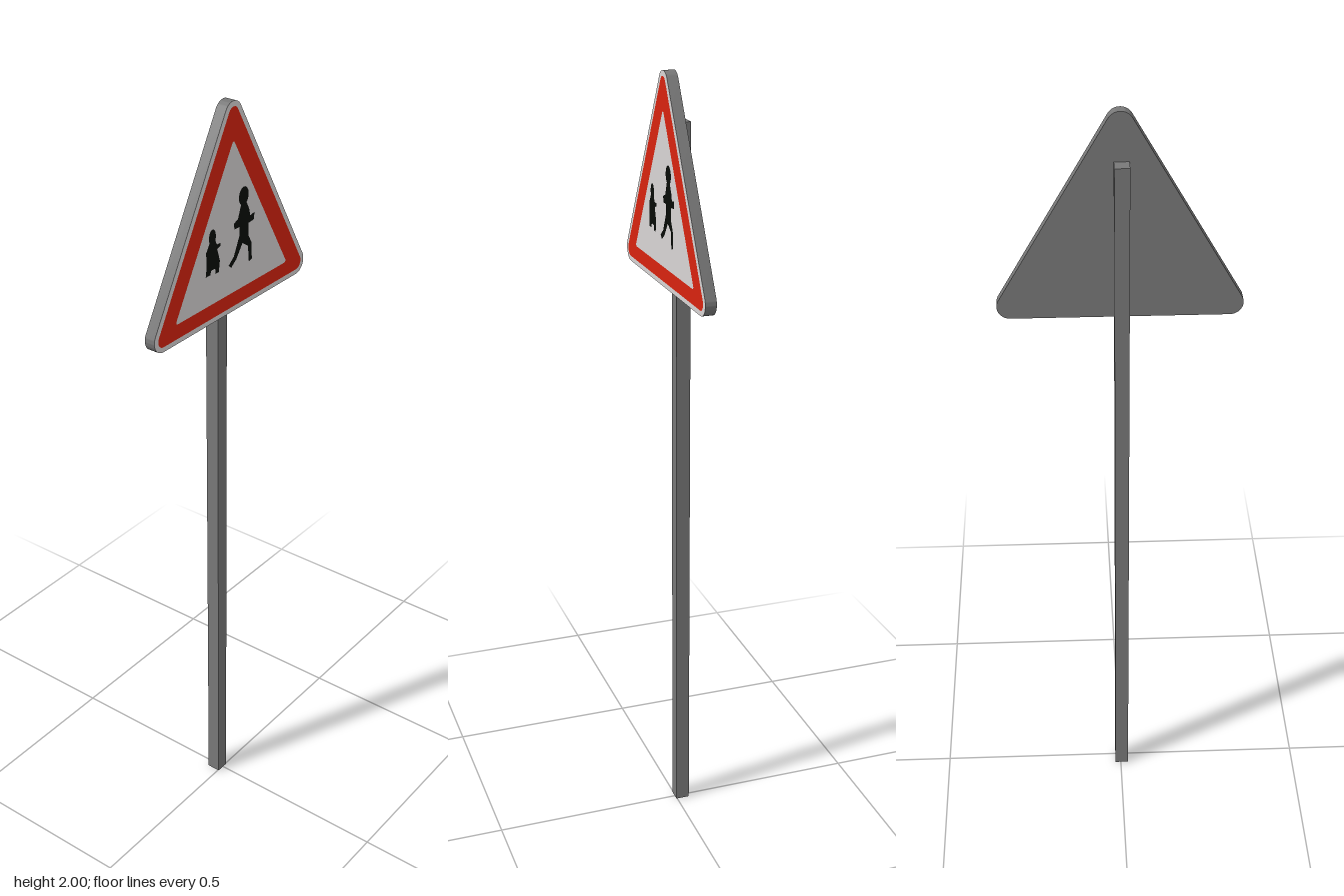
import * as THREE from 'three';
import { toCreasedNormals } from 'three/addons/utils/BufferGeometryUtils.js';

const mat = (name, color) => {
  const m = new THREE.MeshStandardMaterial({ color });
  m.name = name;
  return m;
};

// Triangle with rounded corners: arcs of radius r around three corner centres
function roundedTriangle(centres, r, Type = THREE.Shape) {
  const s = new Type();
  centres.forEach(([x, y], i) => {
    const mid = -Math.PI / 6 * 5 + i * Math.PI * 2 / 3;
    s.absarc(x, y, r, mid - Math.PI / 3, mid + Math.PI / 3, false);
  });
  s.closePath();
  return s;
}

const polygon = (pts) => new THREE.Shape(pts.map(([x, y]) => new THREE.Vector2(x, y)));

function disc(x, y, rx, ry) {
  const s = new THREE.Shape();
  s.absellipse(x, y, rx, ry, 0, Math.PI * 2, false, 0);
  return s;
}

export function createModel() {
  const model = new THREE.Group();
  const grey = mat('grey metal', 0x787878);
  const white = mat('sign white', 0xd8d5d5);
  const red = mat('sign red', 0xd8230f);
  const black = mat('figure black', 0x080c08);

  const add = (name, geometry, material, z = 0, parent = model) => {
    const mesh = new THREE.Mesh(geometry, material);
    mesh.name = name;
    mesh.position.z = z;
    parent.add(mesh);
    return mesh;
  };

  // Square post behind the panel
  const post = add('post', new THREE.BoxGeometry(0.036, 1.88, 0.036), grey);
  post.position.set(-0.003, 0.94, -0.016);

  // Triangular panel
  const corners = [[-0.263, 1.512], [0.263, 1.512], [0, 1.968]];
  const outline = roundedTriangle(corners, 0.032);
  const panel = new THREE.ExtrudeGeometry(outline, { depth: 0.028, bevelEnabled: false, curveSegments: 10 });
  add('panel', toCreasedNormals(panel, 0.6), grey, 0.0025);
  add('panelFace', new THREE.ShapeGeometry(outline, 10), white, 0.0309);

  // Red border ring
  const ring = roundedTriangle(corners, 0.019);
  ring.holes.push(roundedTriangle([[-0.211, 1.535], [0.211, 1.535], [0, 1.9]], 0.005, THREE.Path));
  add('redBorder', new THREE.ShapeGeometry(ring, 8), red, 0.0315);

  // Walking adult
  const adult = new THREE.Group();
  adult.name = 'adultFigure';
  model.add(adult);
  add('adultHead', new THREE.ShapeGeometry(disc(0.04, 1.762, 0.019, 0.023)), black, 0.032, adult);
  add('adultBody', new THREE.ShapeGeometry(polygon([
    [0.03, 1.745], [0.05, 1.745], [0.062, 1.722], [0.066, 1.705], [0.083, 1.708], [0.08, 1.69],
    [0.06, 1.688], [0.06, 1.655], [0.072, 1.635], [0.074, 1.592], [0.062, 1.588], [0.058, 1.63],
    [0.036, 1.645], [0.012, 1.612], [-0.008, 1.597], [-0.018, 1.606], [0.002, 1.622],
    [0.024, 1.668], [0.024, 1.69], [0.004, 1.69], [0.002, 1.705], [0.018, 1.712]
  ])), black, 0.032, adult);

  // Walking child
  const child = new THREE.Group();
  child.name = 'childFigure';
  model.add(child);
  add('childHead', new THREE.ShapeGeometry(disc(-0.08, 1.699, 0.013, 0.02)), black, 0.032, child);
  add('childBody', new THREE.ShapeGeometry(polygon([
    [-0.09, 1.69], [-0.07, 1.69], [-0.063, 1.676], [-0.05, 1.676], [-0.05, 1.668], [-0.062, 1.664],
    [-0.052, 1.632], [-0.056, 1.604], [-0.068, 1.604], [-0.07, 1.618], [-0.086, 1.618],
    [-0.088, 1.608], [-0.106, 1.608], [-0.102, 1.635], [-0.104, 1.668]
  ])), black, 0.032, child);

  return model;
}
